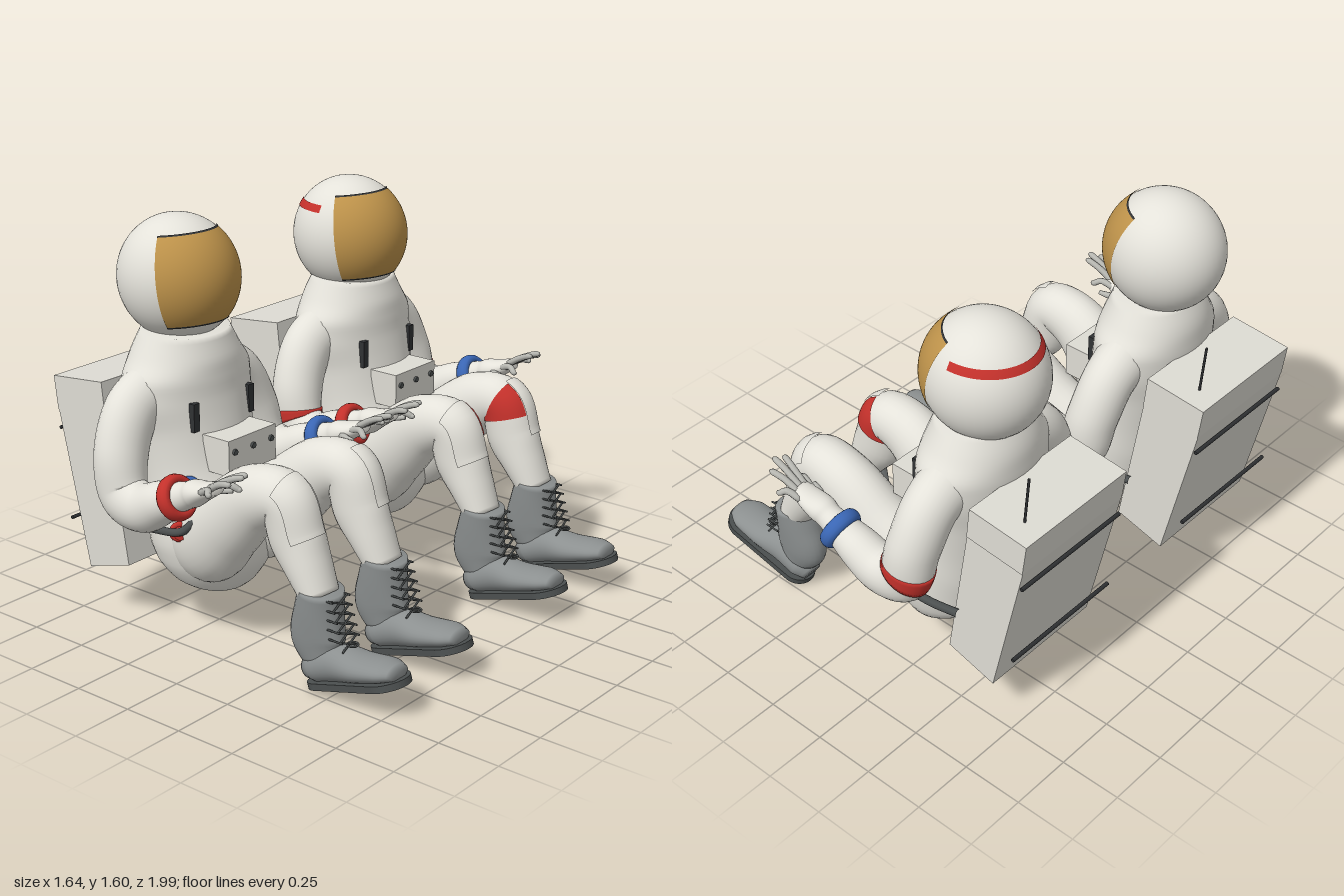
import * as THREE from 'three';

const V = (x, y, z) => new THREE.Vector3(x, y, z);
const paint = (name, color) => {
  const m = new THREE.MeshStandardMaterial({ color });
  m.name = name;
  return m;
};

// Smooth tube through sections [x, y, z, radius across z, radius in the side plane].
// A partial u or angle range gives a thin panel lying on the tube.
function limb(sections, { u0 = 0, u1 = 1, a0 = 0, a1 = Math.PI * 2, lift = 0, rows = 32, cols = 28 } = {}) {
  const path = new THREE.CatmullRomCurve3(sections.map(s => V(s[0], s[1], s[2])));
  const size = new THREE.CatmullRomCurve3(sections.map(s => V(s[3], s[4], 0)));
  const closed = a1 - a0 > 6.28;
  const n = closed ? cols : cols + 1;
  const pos = [], idx = [];
  for (let i = 0; i <= rows; i++) {
    const u = u0 + (u1 - u0) * i / rows;
    const c = path.getPoint(u), r = size.getPoint(u), t = path.getTangent(u);
    const w = V(0, 0, 1).addScaledVector(t, -t.z).normalize();
    const v = t.clone().cross(w);
    for (let j = 0; j < n; j++) {
      const a = a0 + (a1 - a0) * j / cols;
      const p = c.clone().addScaledVector(w, (r.x + lift) * Math.cos(a)).addScaledVector(v, (r.y + lift) * Math.sin(a));
      pos.push(p.x, p.y, p.z);
    }
  }
  for (let i = 0; i < rows; i++) for (let j = 0; j < cols; j++) {
    const a = i * n + j, b = i * n + (j + 1) % n, c = a + n, d = b + n;
    idx.push(a, b, c, b, d, c);
  }
  if (closed) {
    for (const [u, row] of [[u0, 0], [u1, rows]]) {
      const k = pos.length / 3, c = path.getPoint(u);
      pos.push(c.x, c.y, c.z);
      for (let j = 0; j < n; j++) {
        const a = row * n + j, b = row * n + (j + 1) % n;
        if (row) idx.push(k, a, b); else idx.push(k, b, a);
      }
    }
  }
  const g = new THREE.BufferGeometry();
  g.setAttribute('position', new THREE.Float32BufferAttribute(pos, 3));
  g.setIndex(idx);
  g.computeVertexNormals();
  return g;
}

// Straight round bar between two points
function bar(a, b, r) {
  const d = b.clone().sub(a);
  const g = new THREE.CylinderGeometry(r, r, d.length(), 6);
  g.applyQuaternion(new THREE.Quaternion().setFromUnitVectors(V(0, 1, 0), d.normalize()));
  return g.translate((a.x + b.x) / 2, (a.y + b.y) / 2, (a.z + b.z) / 2);
}

// Side outline [x, y] extruded across z
function slab(points, width) {
  const g = new THREE.ExtrudeGeometry(new THREE.Shape(points.map(p => new THREE.Vector2(...p))), { depth: width, bevelEnabled: false });
  return g.translate(0, 0, -width / 2);
}

// Patch of a sphere, theta in degrees from the top, phi = PI looks along +x
const patch = (r, phi, len, t0, t1) =>
  new THREE.SphereGeometry(r, 40, 20, phi - len / 2, len, THREE.MathUtils.degToRad(t0), THREE.MathUtils.degToRad(t1 - t0));

function astronaut(M, striped) {
  const root = new THREE.Group();
  const add = (name, geo, mat, parent = root) => {
    const m = new THREE.Mesh(geo, mat);
    m.name = name;
    parent.add(m);
    return m;
  };

  // Torso from seat to neck: y, back x, front x, half width
  const torso = [
    [0.2, -0.36, -0.2, 0.1], [0.225, -0.43, -0.11, 0.19], [0.3, -0.475, -0.05, 0.24], [0.4, -0.5, -0.04, 0.26],
    [0.52, -0.53, -0.08, 0.255], [0.65, -0.55, -0.13, 0.25], [0.8, -0.575, -0.165, 0.26], [0.92, -0.585, -0.188, 0.285],
    [1.0, -0.587, -0.195, 0.285], [1.08, -0.58, -0.205, 0.235], [1.17, -0.545, -0.235, 0.185],
  ].map(([y, b, f, w]) => [(b + f) / 2, y, 0, w, (f - b) / 2]);
  add('torso', limb(torso, { rows: 48, cols: 40 }), M.suit);

  // Helmet with tilted visor
  const helmet = new THREE.Group();
  helmet.name = 'helmet';
  helmet.position.set(striped ? -0.405 : -0.417, striped ? 1.333 : 1.36, 0);
  helmet.scale.z = 0.93;
  root.add(helmet);
  add('helmetShell', new THREE.SphereGeometry(0.24, 48, 32), M.suit, helmet);
  const visor = new THREE.Group();
  visor.name = 'visor';
  visor.rotation.z = 0.12;
  helmet.add(visor);
  add('visorGlass', patch(0.243, Math.PI, 2.38, 44, 132), M.gold, visor);
  add('visorTopEdge', patch(0.245, Math.PI, 2.38, 43, 45), M.dark, visor);
  add('visorBottomEdge', patch(0.245, Math.PI, 2.38, 131, 133), M.dark, visor);
  if (striped) add('helmetStripe', patch(0.243, 0, Math.PI, 53, 61), M.red, helmet);

  // Backpack, its upper box, rear rails and antenna
  add('backpack', slab([[-0.813, 0.82], [-0.676, 0.2], [-0.463, 0.261], [-0.556, 0.845]], 0.54), M.pack);
  add('backpackTop', slab([[-0.83, 0.952], [-0.813, 0.82], [-0.556, 0.845], [-0.57, 0.978]], 0.546), M.pack);
  for (const [x, y] of [[-0.808, 0.745], [-0.77, 0.38]])
    add('backpackRail', bar(V(x, y, -0.27), V(x, y, 0.27), 0.008), M.dark);
  add('antenna', bar(V(-0.742, 0.95, -0.18), V(-0.76, 1.16, -0.18), 0.005), M.dark);

  // Chest control box with knobs and straps
  add('chestBox', new THREE.BoxGeometry(0.13, 0.14, 0.26).translate(-0.125, 0.748, 0), M.pack);
  for (const z of [-0.1, 0, 0.1])
    add('chestKnob', bar(V(-0.065, 0.77, z), V(-0.05, 0.77, z), 0.012), M.sole);
  for (const z of [-0.15, 0.15])
    add('chestStrap', new THREE.BoxGeometry(0.025, 0.11, 0.03).translate(-0.21, 0.885, z), M.dark);

  for (const s of [1, -1]) {
    const side = s > 0 ? 'right' : 'left';
    const sideColor = s > 0 ? M.red : M.blue;
    const range = (a0, a1) => s > 0 ? { a0, a1 } : { a0: Math.PI - a1, a1: Math.PI - a0 };
    const flip = list => list.map(([x, y, z, w, r]) => [x, y, z * s, w, r]);

    // Arm
    const arm = flip([
      [-0.40, 0.98, 0.14, 0.11, 0.11], [-0.40, 0.91, 0.28, 0.11, 0.1], [-0.385, 0.76, 0.362, 0.103, 0.1],
      [-0.35, 0.62, 0.385, 0.086, 0.103], [-0.25, 0.595, 0.392, 0.086, 0.095], [-0.14, 0.645, 0.4, 0.078, 0.08],
      [-0.05, 0.69, 0.405, 0.06, 0.062]]);
    add(side + 'Arm', limb(arm, { rows: 44 }), M.suit);
    if (striped) add(side + 'ArmBand', limb(arm, { u0: 0.42, u1: 0.475, lift: 0.003, rows: 4 }), M.red);

    // Wrist ring and glove
    const ring = add(side + 'WristRing', new THREE.TorusGeometry(0.066, 0.021, 12, 32).scale(1, 1, 1.4).rotateY(Math.PI / 2), sideColor);
    ring.position.set(-0.06, 0.685, 0.407 * s);
    ring.rotation.z = 0.41;
    add(side + 'Glove', limb(flip([
      [-0.06, 0.685, 0.405, 0.058, 0.058], [0, 0.71, 0.405, 0.05, 0.05], [0.03, 0.724, 0.405, 0.056, 0.05],
      [0.08, 0.745, 0.41, 0.054, 0.036], [0.14, 0.772, 0.415, 0.04, 0.024]]), { rows: 20 }), M.suit);
    const tips = [[0.2, 0.76, 0.35, 0.38], [0.255, 0.835, 0.38, 0.397], [0.27, 0.84, 0.415, 0.415], [0.245, 0.82, 0.455, 0.432], [0.18, 0.775, 0.485, 0.448]];
    for (const [x, y, z, z0] of tips)
      add(side + 'Finger', limb(flip([
        [0.1, 0.757, z0, 0.014, 0.014], [(0.12 + x) / 2, (0.79 + y) / 2, (z + z0) / 2, 0.013, 0.013],
        [x - 0.012, y, z, 0.012, 0.012], [x, y, z, 0.006, 0.006]]), { rows: 10, cols: 8 }), M.glove);
    add(side + 'Thumb', limb(flip([
      [0.05, 0.735, 0.38, 0.017, 0.017], [0.1, 0.735, 0.35, 0.014, 0.014], [0.145, 0.74, 0.335, 0.009, 0.009]]), { rows: 8, cols: 8 }), M.glove);

    // Leg with knee patch and band
    const leg = flip([
      [-0.31, 0.38, 0.1, 0.1, 0.12], [-0.17, 0.42, 0.14, 0.135, 0.18], [-0.03, 0.53, 0.17, 0.122, 0.152],
      [0.13, 0.665, 0.185, 0.108, 0.125], [0.26, 0.688, 0.182, 0.1, 0.106], [0.31, 0.56, 0.18, 0.096, 0.11],
      [0.365, 0.46, 0.182, 0.09, 0.088], [0.42, 0.36, 0.185, 0.08, 0.065]]);
    add(side + 'Leg', limb(leg, { rows: 48 }), M.suit);
    add(side + 'KneePatch', limb(leg, { u0: 0.56, u1: 0.74, lift: 0.007, rows: 14, cols: 12, ...range(-1.87, -0.4) }), M.suit);
    if (striped) add(side + 'KneeBand', limb(leg, { u0: 0.565, u1: 0.635, lift: 0.004, rows: 5, ...range(1.2, 4.41) }), M.red);

    // Boot shaft, foot and sole
    const boot = new THREE.Group();
    boot.name = side + 'Boot';
    boot.position.z = 0.185 * s;
    root.add(boot);
    add('bootShaft', limb([
      [0.425, 0.39, 0, 0.09, 0.08], [0.415, 0.3, 0, 0.084, 0.098], [0.41, 0.2, 0, 0.074, 0.115], [0.43, 0.12, 0, 0.06, 0.085]], { rows: 16 }), M.boot, boot);
    const foot = new THREE.Group();
    foot.name = 'foot';
    foot.position.set(0.385, 0, 0);
    foot.rotation.z = 0.3;
    boot.add(foot);
    add('footUpper', limb([
      [0, 0.06, 0, 0.04, 0.04], [0.05, 0.075, 0, 0.068, 0.065], [0.15, 0.085, 0, 0.074, 0.072], [0.26, 0.066, 0, 0.084, 0.054],
      [0.37, 0.055, 0, 0.08, 0.04], [0.425, 0.045, 0, 0.05, 0.026]], { rows: 20 }), M.boot, foot);
    const plan = new THREE.Shape();
    plan.absarc(0.36, 0, 0.088, -Math.PI / 2, Math.PI / 2);
    plan.absarc(0.07, 0, 0.07, Math.PI / 2, Math.PI * 1.5);
    add('sole', new THREE.ExtrudeGeometry(plan, { depth: 0.026, bevelEnabled: false, curveSegments: 16 }).rotateX(-Math.PI / 2), M.sole, foot);

    // Crossed laces up the front of the shaft
    const rowAt = i => [0.505 + 0.011 * i, 0.375 - 0.036 * i];
    for (let i = 0; i < 5; i++) {
      const [x0, y0] = rowAt(i), [x1, y1] = rowAt(i + 1);
      for (const k of [1, -1]) {
        add('lace', bar(V(x0, y0, 0.045 * k), V(x1, y1, -0.045 * k), 0.004), M.sole, boot);
        add('laceHook', bar(V(x0 - 0.05, y0, 0.048 * k), V(x0 + 0.012, y0, 0.048 * k), 0.004), M.sole, boot);
      }
    }
    add('laceBow', new THREE.TorusGeometry(0.02, 0.004, 6, 16).rotateX(Math.PI / 2).translate(0.57, 0.215, 0), M.sole, boot);

    // Hip hose and hose connectors
    const hose = new THREE.CatmullRomCurve3([[-0.52, 0.465, 0.285], [-0.4, 0.47, 0.31], [-0.27, 0.475, 0.31], [-0.16, 0.487, 0.29], [-0.11, 0.535, 0.265]].map(([x, y, z]) => V(x, y, z * s)));
    add(side + 'HipHose', new THREE.TubeGeometry(hose, 24, 0.016, 8), M.sole);
    for (const [x, y, z, mat] of [[-0.185, 0.475, 0.27, sideColor], [-0.2, 0.63, 0.2, M.blue]]) {
      const port = new THREE.Group();
      port.name = side + 'HosePort';
      port.position.set(x, y, z * s);
      port.rotation.y = -s * 0.75;
      root.add(port);
      add('portCollar', new THREE.TorusGeometry(0.03, 0.012, 8, 20).rotateY(Math.PI / 2), mat, port);
      add('portCap', new THREE.CylinderGeometry(0.025, 0.025, 0.05, 16).rotateZ(Math.PI / 2), mat, port);
    }
  }
  return root;
}

export function createModel() {
  const M = {
    suit: paint('suit white', 0xe4e2da), pack: paint('pack white', 0xdedcd4), glove: paint('glove grey', 0xb8b8b2),
    gold: paint('visor gold', 0xbd924a), boot: paint('boot grey', 0x8c9090), sole: paint('sole grey', 0x4c5050),
    dark: paint('near black', 0x303234), red: paint('red', 0xc4312b), blue: paint('blue', 0x3a66b4),
  };
  const model = new THREE.Group();
  for (const z of [0.5, -0.5]) {
    const figure = astronaut(M, z < 0);
    figure.name = z < 0 ? 'stripedAstronaut' : 'plainAstronaut';
    figure.position.z = z;
    model.add(figure);
  }
  return model;
}
